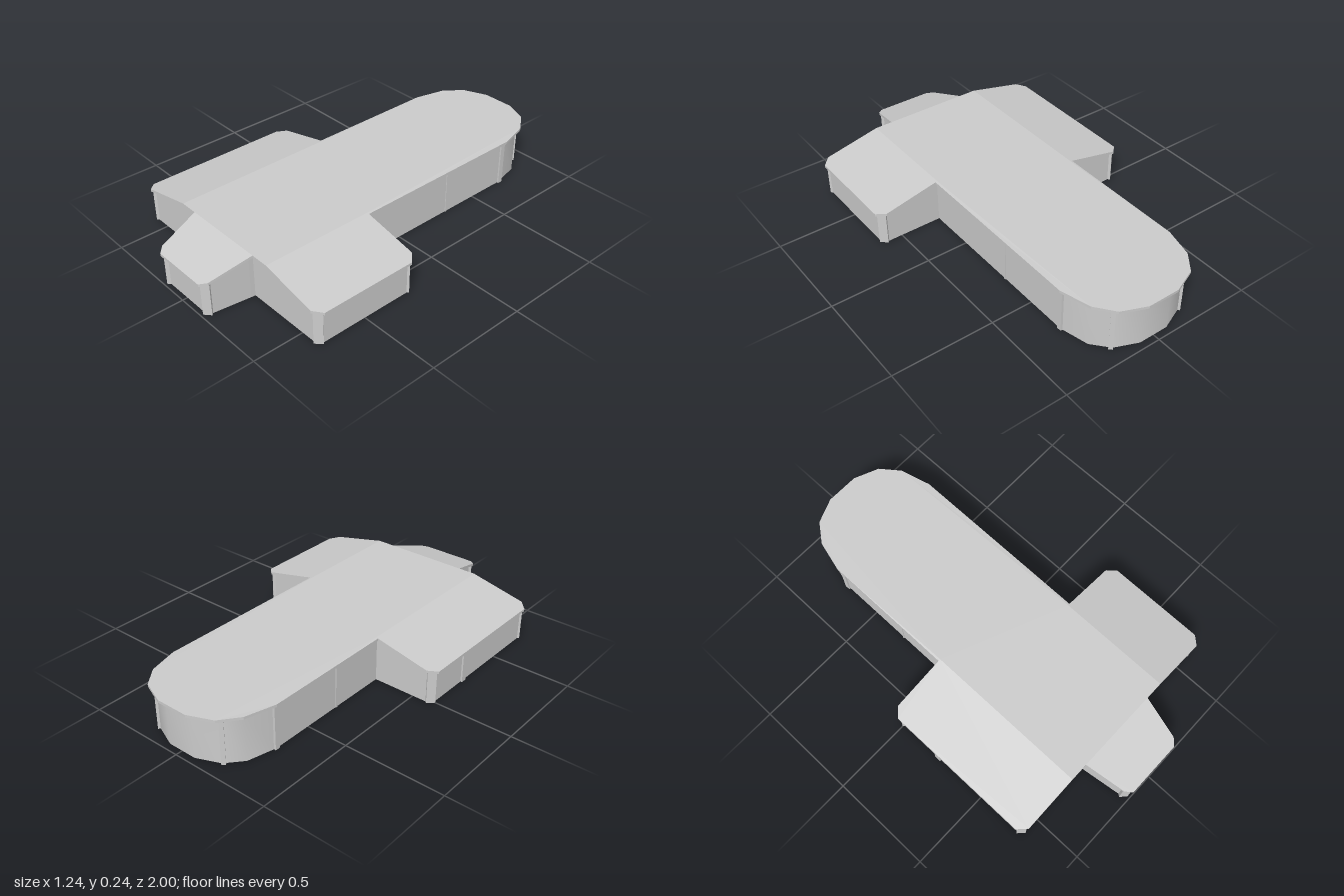
import * as THREE from 'three';

const ROOF_T = 0.013;
const TOP = 0.24, EAVE = 0.17;

// Height of the roof surface: flat nave, wings falling sideways, porch falling forward
function roofY(x, z) {
  if (z > 0.77) return THREE.MathUtils.mapLinear(z, 0.77, 1, TOP, EAVE);
  const ax = Math.abs(x);
  return ax > 0.3 ? THREE.MathUtils.mapLinear(ax, 0.3, 0.62, TOP, EAVE) : TOP;
}

export function createModel() {
  const model = new THREE.Group();
  const mat = new THREE.MeshStandardMaterial({ color: 0xcccccc, flatShading: true });
  const wallMat = new THREE.MeshStandardMaterial({ color: 0xcccccc, side: THREE.DoubleSide });

  function add(name, geometry, material = mat) {
    const mesh = new THREE.Mesh(geometry, material);
    mesh.name = name;
    model.add(mesh);
    return mesh;
  }

  // Thin slab over an x/z outline, raised to the roof surface
  function roof(name, outline) {
    const shape = new THREE.Shape(outline.map(([x, z]) => new THREE.Vector2(x, -z)));
    const g = new THREE.ExtrudeGeometry(shape, { depth: ROOF_T, bevelEnabled: false });
    g.rotateX(-Math.PI / 2);
    const p = g.attributes.position;
    for (let i = 0; i < p.count; i++) {
      p.setY(i, p.getY(i) - ROOF_T + roofY(p.getX(i), p.getZ(i)));
    }
    g.computeVertexNormals();
    add(name, g);
  }

  // Upright wall along an x/z path, reaching the underside of the roof
  function wall(name, path, smooth = false) {
    const pos = [], idx = [];
    path.forEach(([x, z], i) => {
      pos.push(x, 0, z, x, roofY(x, z) - ROOF_T, z);
      if (i) {
        const a = 2 * i - 2;
        idx.push(a, a + 2, a + 1, a + 1, a + 2, a + 3);
      }
    });
    let g = new THREE.BufferGeometry();
    g.setAttribute('position', new THREE.Float32BufferAttribute(pos, 3));
    g.setIndex(idx);
    if (!smooth) g = g.toNonIndexed();
    g.computeVertexNormals();
    add(name, g, wallMat);
  }

  // Slim post, its broad face turned by angle about y
  function post(x, z, angle, width = 0.042, depth = 0.02) {
    const h = roofY(x, z) - ROOF_T;
    const m = add('post', new THREE.BoxGeometry(width, h, depth));
    m.position.set(x, h / 2, z);
    m.rotation.y = angle;
  }

  const mirror = (pts) => pts.map(([x, z]) => [-x, z]).reverse();

  // Nave roof with rounded back
  const apse = [[0.31, -0.71], [0.27, -0.86], [0.2, -0.95], [0.08, -1]];
  const naveSide = [[0.3, 0.77], [0.3, -0.04], [0.31, -0.04], ...apse];
  const flat = naveSide.filter(([x]) => x !== 0.3);
  roof('naveRoof', [[0.3, 0.77], [0.3, 0.21], [0.31, 0.21], ...flat,
    ...mirror(flat), [-0.3, -0.04], [-0.3, 0.77]]);

  // Wing roofs: shallow on the left, deep on the right
  for (const [s, back, name] of [[1, 0.21, 'leftWing'], [-1, -0.04, 'rightWing']]) {
    const c = 0.04;
    roof(name + 'Roof', [[s * 0.3, back], [s * (0.62 - c), back], [s * 0.62, back + c],
      [s * 0.62, 0.77 - c], [s * (0.62 - c), 0.77], [s * 0.3, 0.77]]);

    // Wing walls, from the porch round to the nave
    const b = back + 0.02;
    wall(name + 'Wall', [[s * 0.18, 0.75], [s * 0.3, 0.75], [s * 0.575, 0.75],
      [s * 0.602, 0.723], [s * 0.602, b + 0.027], [s * 0.575, b], [s * 0.29, b]]);
    post(s * 0.588, 0.738, s * Math.PI / 4);
    post(s * 0.588, b + 0.012, -s * Math.PI / 4);

    // Nave side wall and its posts
    wall('naveWall', [[s * 0.29, b], [s * 0.29, -0.7]]);
    post(s * 0.29, -0.31, Math.PI / 2, 0.008, 0.008);
    post(s * 0.288, -0.7, Math.PI / 2, 0.025, 0.02);
    post(s * 0.19, -0.91, s * 0.8, 0.03, 0.02);

    // Porch side wall and corner post
    wall('porchSideWall', [[s * 0.182, 0.75], [s * 0.18, 0.771], [s * 0.155, 0.955], [s * 0.13, 0.975]]);
    post(s * 0.144, 0.968, s * 0.72, 0.04, 0.02);
  }
  post(-0.6, 0.23, Math.PI / 2, 0.03, 0.02);

  // Rounded back wall
  const apseWall = [[0.29, -0.7], [0.255, -0.84], [0.187, -0.918], [0.075, -0.965]];
  wall('apseWall', [...apseWall, ...mirror(apseWall)], true);

  // Porch front and roof
  wall('porchFrontWall', [[0.13, 0.975], [-0.13, 0.975]]);
  const porch = [[0.21, 0.77], [0.17, 0.97], [0.14, 1]];
  roof('porchRoof', [...porch, ...mirror(porch)]);

  return model;
}
